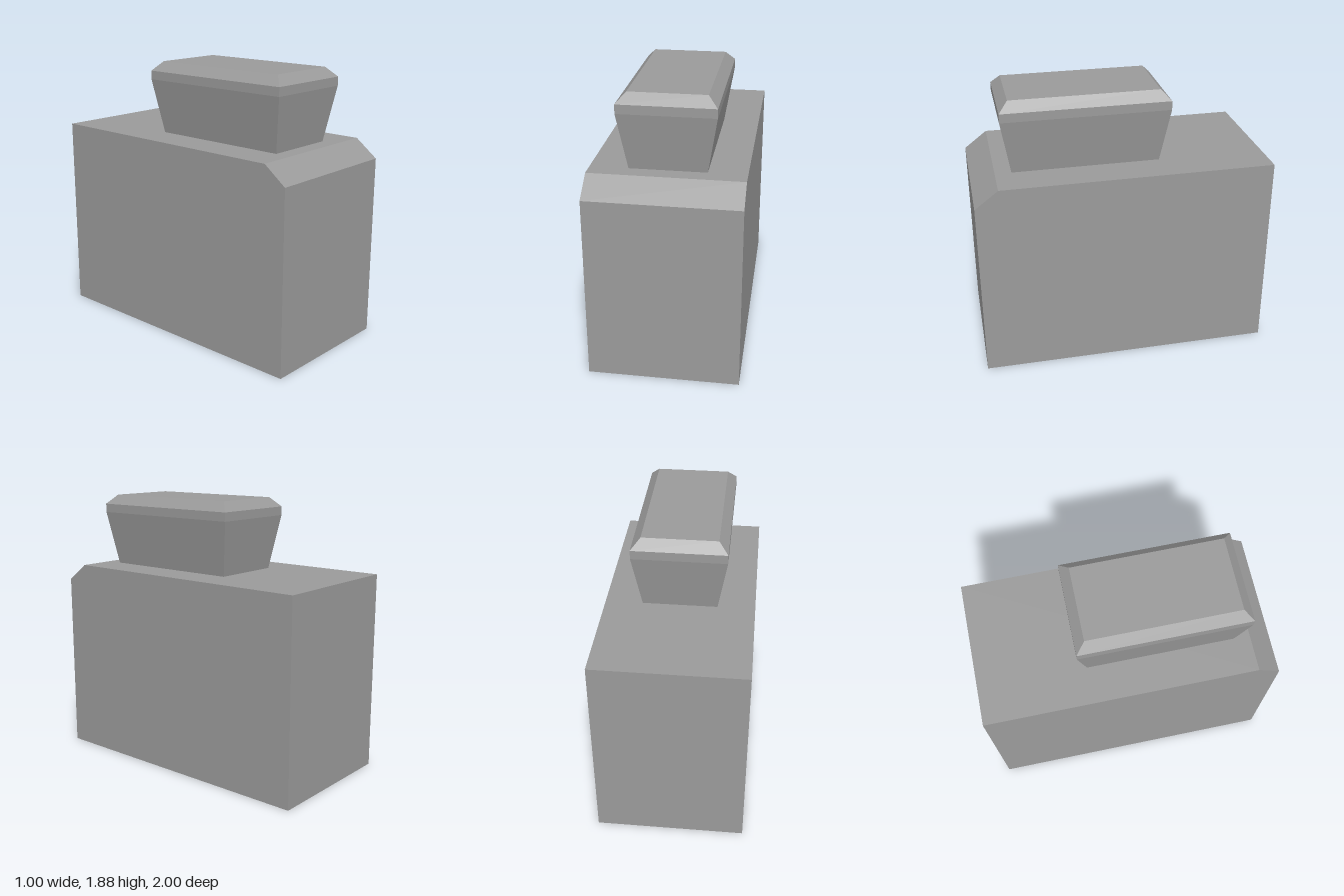
import * as THREE from 'three';

const material = new THREE.MeshStandardMaterial({ color: 0x9b9b9b, flatShading: true });

// Closed solid through rectangular sections [y, halfWidth, halfDepth], listed bottom to top
function rectLoft(sections) {
  const positions = [];
  const index = [];
  for (const [y, w, d] of sections) {
    positions.push(-w, y, d, w, y, d, w, y, -d, -w, y, -d);
  }
  for (let s = 0; s < sections.length - 1; s++) {
    for (let i = 0; i < 4; i++) {
      const a = s * 4 + i;
      const b = s * 4 + (i + 1) % 4;
      index.push(a, b, b + 4, a, b + 4, a + 4);
    }
  }
  const t = (sections.length - 1) * 4;
  index.push(0, 2, 1, 0, 3, 2, t, t + 1, t + 2, t, t + 2, t + 3);
  const indexed = new THREE.BufferGeometry();
  indexed.setAttribute('position', new THREE.Float32BufferAttribute(positions, 3));
  indexed.setIndex(index);
  const geometry = indexed.toNonIndexed();
  geometry.computeVertexNormals();
  return geometry;
}

export function createModel() {
  const group = new THREE.Group();

  // Body: side profile (z, y) with a bevelled top front edge, extruded across the width
  const profile = new THREE.Shape([
    [-1, 0], [1, 0], [1, 1.255], [0.843, 1.375], [-1, 1.375],
  ].map(([z, y]) => new THREE.Vector2(z, y)));
  const bodyGeometry = new THREE.ExtrudeGeometry(profile, { depth: 1, bevelEnabled: false });
  bodyGeometry.rotateY(-Math.PI / 2).translate(0.5, 0, 0);
  const body = new THREE.Mesh(bodyGeometry, material);
  body.name = 'body';
  group.add(body);

  // Grip: flares upward, short straight band, then a bevelled top
  const grip = new THREE.Mesh(rectLoft([
    [1.375, 0.25, 0.5],
    [1.75, 0.3125, 0.5625],
    [1.81, 0.3125, 0.5625],
    [1.875, 0.25, 0.5],
  ]), material);
  grip.name = 'topGrip';
  grip.position.z = 0.233;
  group.add(grip);

  return group;
}
